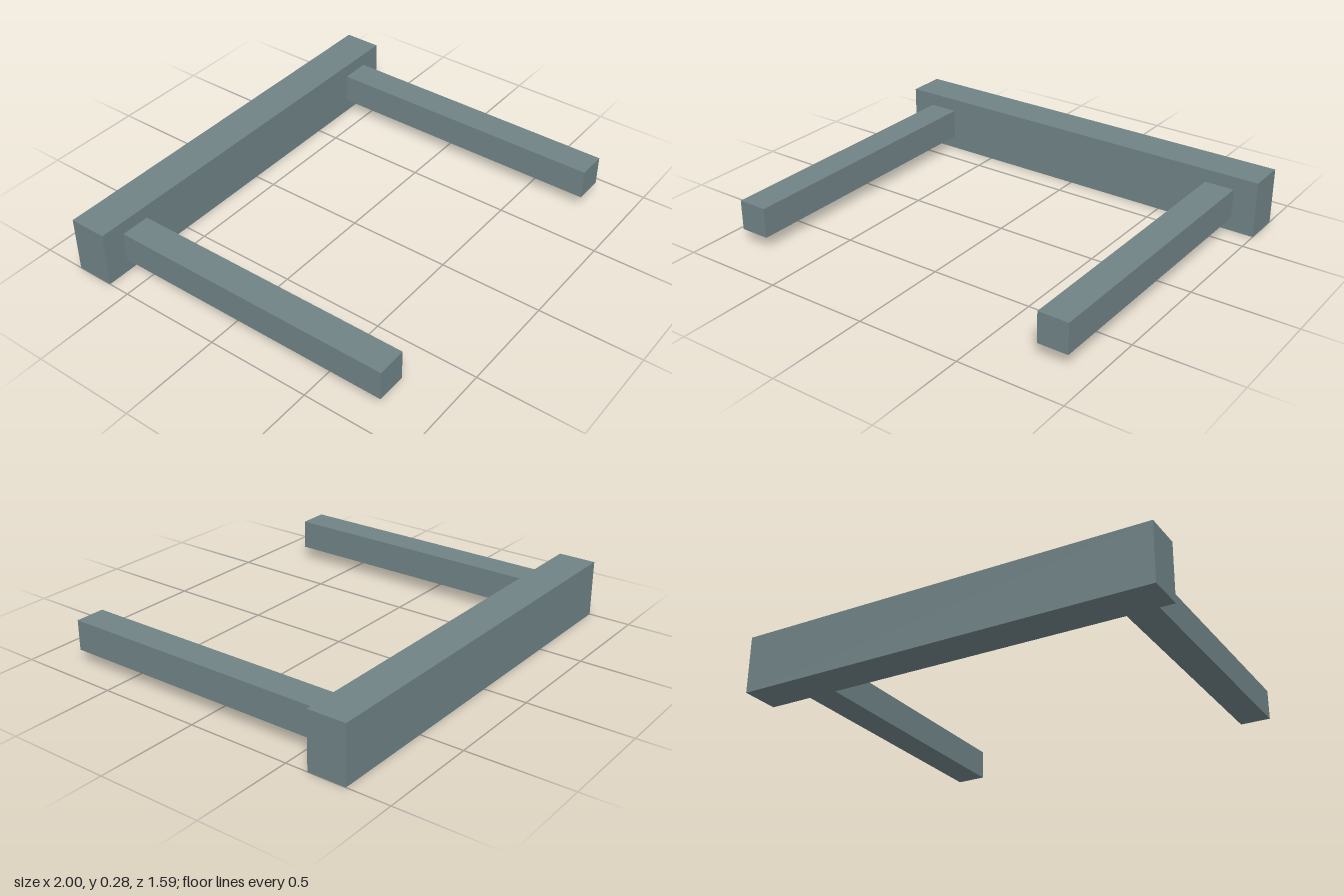
import * as THREE from 'three';

export function createModel() {
  const model = new THREE.Group();
  const steel = new THREE.MeshStandardMaterial({ color: 0x708386 });
  steel.name = 'blue grey steel';

  // Box given by its minimum and maximum corners
  const addBox = (name, min, max) => {
    const size = max.map((v, i) => v - min[i]);
    const mesh = new THREE.Mesh(new THREE.BoxGeometry(...size), steel);
    mesh.position.set(...max.map((v, i) => (v + min[i]) / 2));
    mesh.name = name;
    model.add(mesh);
  };

  // Deep beam across the back
  addBox('crossBeam', [-1, 0, -0.793], [1, 0.276, -0.608]);

  // Two square arms reaching forward from the beam
  for (const [name, x] of [['leftArm', 0.811], ['rightArm', -0.811]]) {
    addBox(name, [x - 0.073, 0.066, -0.608], [x + 0.073, 0.212, 0.793]);
  }

  return model;
}
